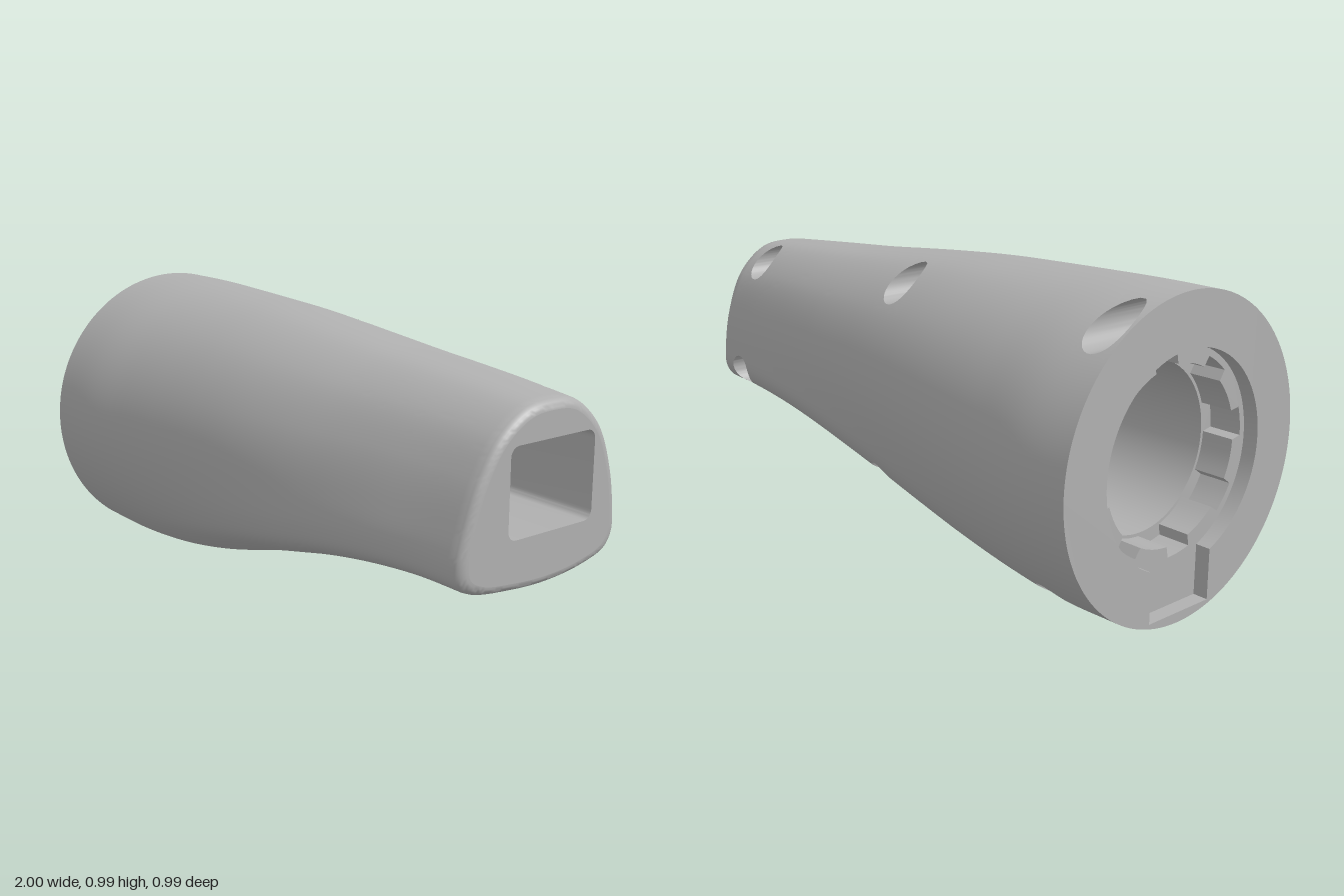
import * as THREE from 'three';
import { toCreasedNormals } from 'three/addons/utils/BufferGeometryUtils.js';

const N = 192;          // points around the body
const AXIS = 0.497;     // height of the bore axis

// Body extents along x: bottom, top, back, front
const XS = [-1, -0.8, -0.6, -0.4, -0.2, 0, 0.2, 0.4, 0.6, 0.8, 1];
const EXTENTS = new THREE.CubicInterpolant(XS, [
  0, 0.993, -0.495, 0.492,
  0.001, 0.993, -0.495, 0.492,
  0.02, 0.988, -0.468, 0.474,
  0.06, 0.981, -0.44, 0.458,
  0.115, 0.972, -0.412, 0.443,
  0.175, 0.957, -0.385, 0.428,
  0.23, 0.939, -0.36, 0.41,
  0.28, 0.92, -0.34, 0.388,
  0.315, 0.905, -0.322, 0.368,
  0.334, 0.889, -0.304, 0.35,
  0.336, 0.871, -0.283, 0.342,
], 4, new Float32Array(4));

// Rounded triangular section of the narrow end (z, y), from the top over the back
const endCurve = new THREE.CatmullRomCurve3([
  [0, 0.87], [-0.1, 0.855], [-0.2, 0.77], [-0.258, 0.63], [-0.28, 0.5], [-0.28, 0.43],
  [-0.25, 0.385], [-0.15, 0.352], [0, 0.336], [0.15, 0.343], [0.28, 0.363],
  [0.333, 0.395], [0.343, 0.45], [0.318, 0.56], [0.27, 0.685], [0.2, 0.79], [0.1, 0.857],
].map(([z, y]) => new THREE.Vector3(z, y, 0)), true);

const endSection = endCurve.getSpacedPoints(N).slice(0, N)
  .map(p => [(p.x - 0.0315) / 0.3115, (p.y - 0.603) / 0.267]);
const circleSection = endSection.map(([z, y]) => {
  const a = Math.atan2(y, z);
  return [Math.cos(a), Math.sin(a)];
});

// Cross-section at x, blending circle to rounded triangle within the extents
const cache = new Map();
function section(x) {
  if (cache.has(x)) return cache.get(x);
  const [bottom, top, back, front] = EXTENTS.evaluate(x);
  const t = THREE.MathUtils.smoothstep(x, -0.9, 0.9);
  const pts = endSection.map((e, k) => [0, 1].map(c => THREE.MathUtils.lerp(circleSection[k][c], e[c], t)));
  const range = c => [Math.min(...pts.map(p => p[c])), Math.max(...pts.map(p => p[c]))];
  const [z0, z1] = range(0), [y0, y1] = range(1);
  const e = Math.max(0, (x - 0.97) / 0.03);
  const shrink = 1 - 0.1 * (1 - Math.sqrt(Math.max(0, 1 - e * e)));
  const fit = (v, a, b, lo, hi) => (lo + hi) / 2 + ((v - a) / (b - a) - 0.5) * (hi - lo) * shrink;
  const out = pts.map(p => [fit(p[0], z0, z1, back, front), fit(p[1], y0, y1, bottom, top)]);
  cache.set(x, out);
  return out;
}

function surface(x, v) {
  const s = section(x), k = Math.floor(v), f = v - k;
  const a = s[k % N], b = s[(k + 1) % N];
  return [x, a[1] + (b[1] - a[1]) * f, a[0] + (b[0] - a[0]) * f];
}

// Position around the back half where the section has height y
function findV(x, y) {
  const s = section(x);
  let lo = 0, hi = 0;
  s.forEach((p, k) => { if (p[1] < s[hi][1]) hi = k; });
  for (let n = 0; n < 30; n++) {
    const mid = (lo + hi) / 2;
    if (surface(x, mid)[1] > y) lo = mid; else hi = mid;
  }
  return lo;
}

// Skin between closed loops of points; skip(i, j) leaves cells open
function loft(loops, pos, skip = () => false) {
  const n = loops[0].length;
  for (let i = 0; i < loops.length - 1; i++) {
    for (let j = 0; j < n; j++) {
      if (skip(i, j)) continue;
      const k = (j + 1) % n;
      const a = loops[i][j], b = loops[i + 1][j], c = loops[i + 1][k], d = loops[i][k];
      pos.push(...a, ...b, ...c, ...a, ...c, ...d);
    }
  }
}

function toGeometry(pos, crease) {
  const g = new THREE.BufferGeometry();
  g.setAttribute('position', new THREE.Float32BufferAttribute(pos, 3));
  return toCreasedNormals(g, crease);
}

// Flat plate facing +x or -x with (z, y) outlines
function plate(outer, holes, x, dir) {
  const vec = o => o.map(([z, y]) => new THREE.Vector2(-dir * z, y));
  const shape = new THREE.Shape(vec(outer));
  shape.holes = holes.map(h => new THREE.Path(vec(h)));
  return new THREE.ShapeGeometry(shape).rotateY(dir * Math.PI / 2).translate(x, 0, 0);
}

// Inner wall following a (z, y) outline
function wall(outline, x0, x1) {
  const pos = [];
  loft([x1, x0].map(x => outline.map(([z, y]) => [x, y, z])), pos);
  return toGeometry(pos, 0.4);
}

const arc = (r, a0, a1, n) => Array.from({ length: n + 1 }, (_, i) => {
  const a = a0 + (a1 - a0) * i / n;
  return [r * Math.cos(a), AXIS + r * Math.sin(a)];
});

export function createModel() {
  const group = new THREE.Group();
  const grey = new THREE.MeshStandardMaterial({ color: 0xb0b0b0, side: THREE.DoubleSide });
  grey.name = 'grey';
  const add = (name, geometry) => {
    const mesh = new THREE.Mesh(geometry, grey);
    mesh.name = name;
    group.add(mesh);
  };

  // Rows along the body, closer together on the rounded end
  const rows = Array.from({ length: 99 }, (_, i) => -1 + 1.97 * i / 98);
  for (let i = 1; i <= 6; i++) rows.push(0.97 + 0.03 * Math.sin(i * Math.PI / 12));

  // Screw holes drilled from the back: x, y, radius
  const holes = [
    [-0.93, 0.917, 0.06], [0, 0.883, 0.058], [0.86, 0.82, 0.055],
    [-0.77, 0.085, 0.06], [0, 0.255, 0.058], [0.86, 0.43, 0.057],
  ];
  const skin = [], pockets = [], rects = [];
  for (const [hx, hy, r] of holes) {
    const vs = Array.from({ length: 32 }, (_, k) => {
      const a = k * Math.PI / 16;
      return findV(hx + r * Math.cos(a), hy + r * Math.sin(a));
    });
    const j0 = Math.max(0, Math.floor(Math.min(...vs)) - 1), j1 = Math.ceil(Math.max(...vs)) + 1;
    const i0 = rows.findLastIndex(x => x < hx - r - 0.004), i1 = rows.findIndex(x => x > hx + r + 0.004);
    rects.push([i0, i1, j0, j1]);
    // Grid points around the opening, joined to the circle of the hole
    const rim = [];
    for (let i = i0; i < i1; i++) rim.push([rows[i], j0]);
    for (let j = j0; j < j1; j++) rim.push([rows[i1], j]);
    for (let i = i1; i > i0; i--) rim.push([rows[i], j1]);
    for (let j = j1; j > j0; j--) rim.push([rows[i0], j]);
    const circle = rim.map(([x, v]) => {
      const a = Math.atan2(surface(x, v)[1] - hy, x - hx);
      const cx = hx + r * Math.cos(a);
      return [cx, findV(cx, hy + r * Math.sin(a))];
    });
    const ring = f => rim.map(([x, v], k) =>
      surface(x + (circle[k][0] - x) * f, v + (circle[k][1] - v) * f));
    loft([ring(1), ring(0.67), ring(0.33), rim.map(([x, v]) => surface(x, v))].reverse(), skin);
    const mouth = ring(1);
    const floor = mouth.map(p => [p[0], p[1], -0.05]);
    loft([mouth, floor, floor.map(() => [hx, hy, -0.05])], pockets);
  }
  // Reverse-wound opening rings are matched to the outward direction of the body
  for (let i = 0; i < skin.length; i += 9) {
    const [a, b, c] = [0, 3, 6].map(k => new THREE.Vector3(...skin.slice(i + k, i + k + 3)));
    const normal = b.clone().sub(a).cross(c.clone().sub(a));
    const outward = new THREE.Vector3(0, a.y - 0.55, a.z);
    if (normal.dot(outward) < 0) skin.splice(i + 3, 6, ...c.toArray(), ...b.toArray());
  }
  loft(rows.map(x => section(x).map(([z, y]) => [x, y, z])), skin,
    (i, j) => rects.some(([i0, i1, j0, j1]) => i >= i0 && i < i1 && j >= j0 && j < j1));
  add('body', toGeometry(skin, 0.7));
  add('screwHoles', toGeometry(pockets, 0.6));

  // Narrow end with a rounded rectangular socket
  const socket = [];
  [[0.135, 0.735, 0], [-0.14, 0.735, 1], [-0.14, 0.525, 2], [0.135, 0.525, 3]].forEach(([z, y, q]) => {
    for (let k = 0; k <= 6; k++) {
      const a = (q + k / 6) * Math.PI / 2;
      socket.push([z + 0.03 * Math.cos(a), y + 0.03 * Math.sin(a)]);
    }
  });
  add('narrowEndFace', plate(section(1), [socket], 1, 1));
  add('socketWall', wall(socket, 0.1, 1));
  add('socketFloor', plate(socket, [], 0.1, 1));

  // Wide end: entry bore with a notch at the bottom
  const gap = Math.asin(0.13 / 0.33);
  const entry = [...arc(0.33, -Math.PI / 2 + gap, Math.PI * 1.5 - gap, 72), [-0.13, 0.032], [0.13, 0.032]];
  add('wideEndFace', plate(section(-1), [entry], -1, -1));
  add('entryWall', wall(entry, -1, -0.95));

  // Toothed collar inside the bore
  const collar = [];
  for (let k = 0; k < 8; k++) {
    const a = k * Math.PI / 4;
    collar.push(...arc(0.31, a, a + 0.3, 4), ...arc(0.275, a + 0.32, a + 0.76, 6));
  }
  const bore = arc(0.265, 0, Math.PI * 2, 64).slice(0, 64);
  add('collarFace', plate(entry, [collar], -0.95, -1));
  add('collarTeeth', wall(collar, -0.95, -0.84));
  add('collarStep', plate(collar, [bore], -0.84, -1));
  add('boreWall', wall(bore, -0.84, -0.1));
  add('boreFloor', plate(bore, [], -0.1, -1));

  return group;
}
